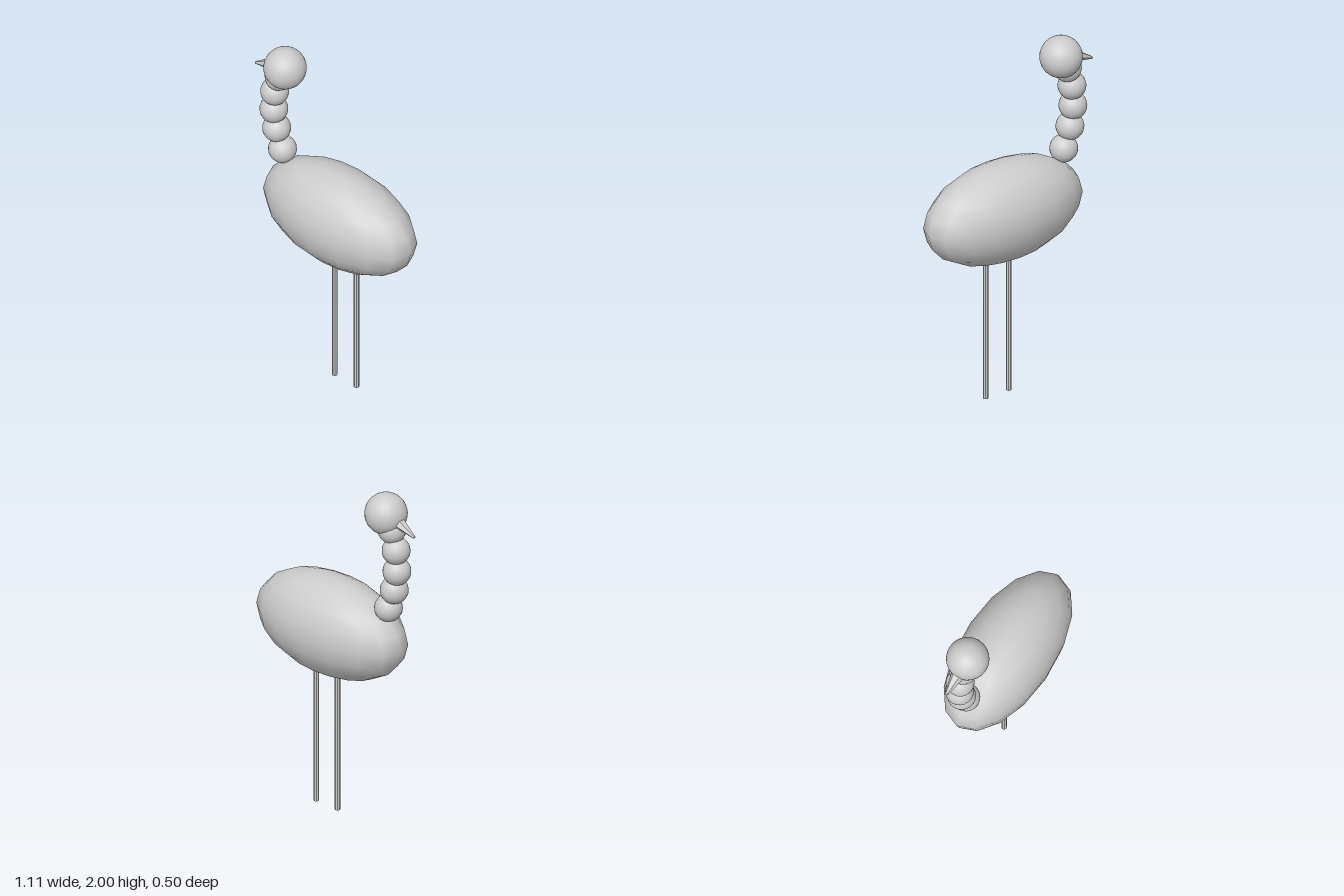
import * as THREE from 'three';

const grey = new THREE.MeshStandardMaterial({ color: 0xcccccc });
grey.name = 'plain grey';

function add(group, name, geometry, x, y, z = 0) {
  const mesh = new THREE.Mesh(geometry, grey);
  mesh.name = name;
  mesh.position.set(x, y, z);
  group.add(mesh);
  return mesh;
}

// Split the faces so each one is shaded flat
function faceted(geometry) {
  const flat = geometry.toNonIndexed();
  flat.computeVertexNormals();
  return flat;
}

export function createModel() {
  const bird = new THREE.Group();
  bird.name = 'longLeggedBird';

  // Egg-shaped body
  const body = add(bird, 'body', new THREE.SphereGeometry(1, 16, 10), 0.05, 1.092);
  body.scale.set(0.505, 0.282, 0.25);

  // Curved neck made of beads
  const neck = new THREE.Group();
  neck.name = 'neck';
  const beads = [[-0.363, 1.329], [-0.405, 1.449], [-0.425, 1.567], [-0.419, 1.688], [-0.388, 1.803]];
  beads.forEach(([x, y], i) => add(neck, `neckBead${i + 1}`, new THREE.SphereGeometry(0.077, 20, 16), x, y));
  bird.add(neck);

  // Head
  add(bird, 'head', new THREE.SphereGeometry(0.116, 24, 20), -0.345, 1.884);

  // Blunt tapered beak, its wide end buried in the head
  const tip = new THREE.Vector3(-0.554, 1.811, 0);
  const root = new THREE.Vector3(-0.425, 1.868, 0);
  const axis = tip.clone().sub(root);
  const beakGeometry = new THREE.CylinderGeometry(0.009, 0.043, axis.length(), 6);
  beakGeometry.scale(0.8, 1, 1);
  const middle = root.clone().lerp(tip, 0.5);
  const beak = add(bird, 'beak', faceted(beakGeometry), middle.x, middle.y);
  beak.rotation.z = Math.atan2(-axis.x, axis.y);

  // Two thin straight legs
  for (const [name, x] of [['frontLeg', 0.011], ['rearLeg', 0.167]]) {
    add(bird, name, faceted(new THREE.CylinderGeometry(0.015, 0.015, 0.86, 8)), x, 0.43);
  }
  return bird;
}
